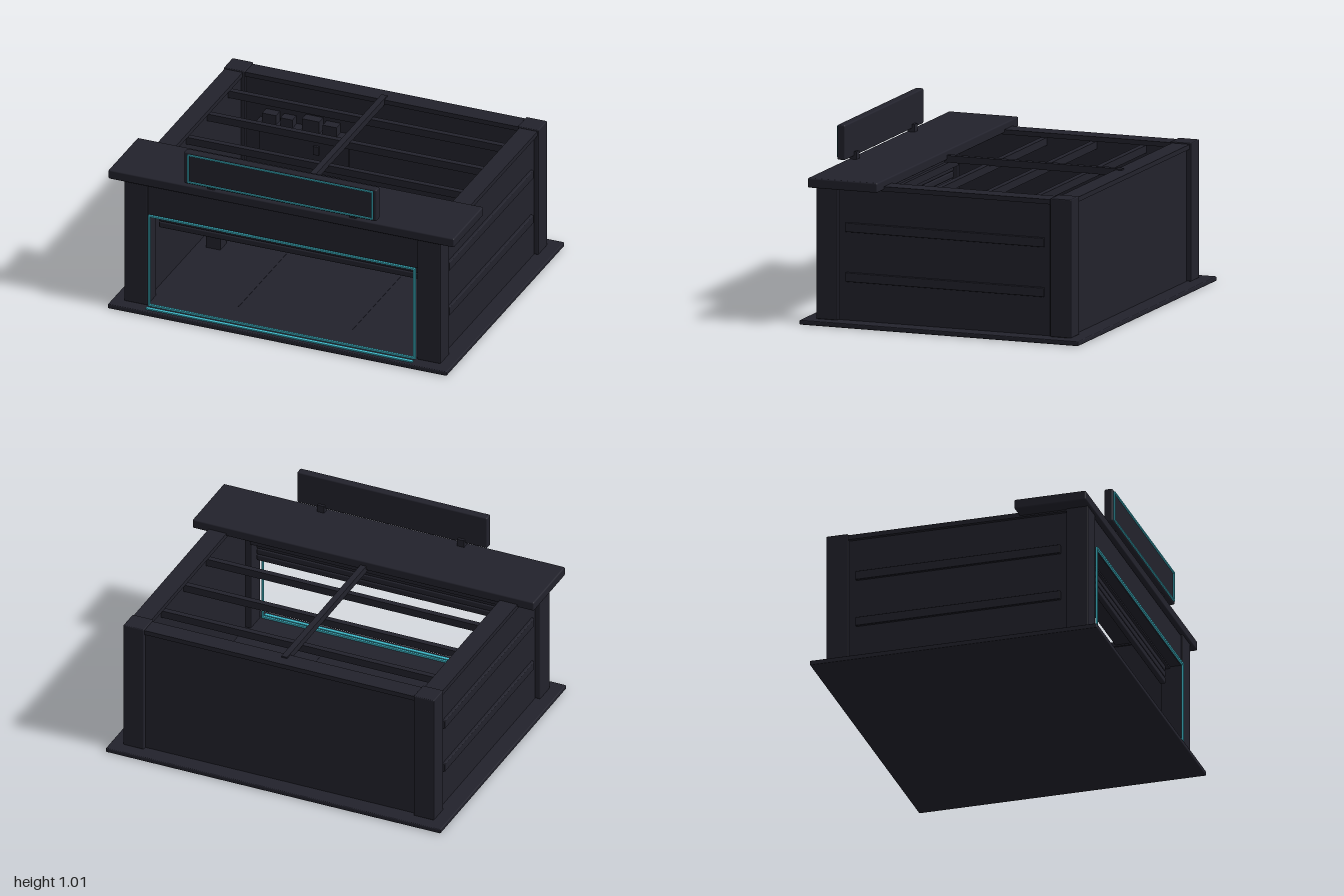
import * as THREE from 'three';
import { RoundedBoxGeometry } from 'three/addons/geometries/RoundedBoxGeometry.js';

export function createModel() {
  const root = new THREE.Group();
  root.name = 'garage';
  const dark = new THREE.MeshStandardMaterial({ color: 0x22222c });
  dark.name = 'dark panel';
  const glow = new THREE.MeshStandardMaterial({ color: 0x40bccd });
  glow.name = 'cyan trim';

  function add(name, geo, mat = dark, parent = root) {
    const m = new THREE.Mesh(geo, mat);
    m.name = name;
    parent.add(m);
    return m;
  }
  // Box given by its extents; r rounds the edges
  function box(name, x0, x1, y0, y1, z0, z1, r = 0, mat = dark, parent = root) {
    const s = [x1 - x0, y1 - y0, z1 - z0];
    const geo = r ? new RoundedBoxGeometry(...s, 2, r) : new THREE.BoxGeometry(...s);
    const m = add(name, geo, mat, parent);
    m.position.set((x0 + x1) / 2, (y0 + y1) / 2, (z0 + z1) / 2);
    return m;
  }
  // Rectangular outline made of four thin bars
  function frame(name, w, y0, y1, z0, z1, t) {
    const g = new THREE.Group();
    g.name = name;
    root.add(g);
    box('bottomBar', -w, w, y0, y0 + t, z0, z1, 0, glow, g);
    box('topBar', -w, w, y1 - t, y1, z0, z1, 0, glow, g);
    for (const s of [-1, 1]) {
      const c = s * (w - t / 2);
      box('sideBar', c - t / 2, c + t / 2, y0 + t, y1 - t, z0, z1, 0, glow, g);
    }
  }

  // Slab and floor seams
  box('baseSlab', -0.98, 0.98, 0, 0.025, -0.8, 0.8, 0.005);
  for (const x of [-0.33, 0.33]) box('floorSeam', x - 0.003, x + 0.003, 0.025, 0.027, -0.55, 0.55);

  // Walls, pillars, wall caps and side ribs
  for (const s of [-1, 1]) {
    const side = (name, a, b, ...rest) => box(name, Math.min(s * a, s * b), Math.max(s * a, s * b), ...rest);
    side('frontPillar', 0.78, 0.915, 0.025, 0.755, 0.61, 0.73, 0.005);
    side('backPillar', 0.79, 0.91, 0.025, 0.775, -0.73, -0.61, 0.005);
    side('sideWall', 0.81, 0.885, 0.025, 0.75, -0.62, 0.62);
    side('sideCap', 0.8, 0.905, 0.742, 0.768, -0.63, 0.62);
    for (const y of [0.235, 0.505]) side('sideRib', 0.88, 0.9, y, y + 0.05, -0.57, 0.57, 0.004);
  }
  box('backWall', -0.8, 0.8, 0.025, 0.75, -0.705, -0.63);
  box('backCap', -0.8, 0.8, 0.742, 0.768, -0.722, -0.62);

  // Door header and rolled-up shutter
  box('doorHeader', -0.79, 0.79, 0.57, 0.745, 0.62, 0.72);
  for (let i = 0; i < 3; i++) {
    const y = 0.46 + i * 0.037;
    box('shutterSlat', -0.75, 0.75, y, y + 0.034, 0.615, 0.645, 0.006);
  }
  box('shutterBox', -0.78, 0.78, 0.56, 0.6, 0.6, 0.66);
  frame('doorTrim', 0.772, 0.028, 0.574, 0.728, 0.74, 0.01);
  box('thresholdStrip', -0.77, 0.77, 0.024, 0.032, 0.756, 0.776, 0, glow);

  // Open roof beams
  for (const z of [-0.45, -0.165, 0.12]) box('crossBeam', -0.81, 0.81, 0.7, 0.742, z - 0.016, z + 0.016);
  box('ridgeBeam', -0.018, 0.016, 0.738, 0.776, -0.66, 0.36);

  // Front canopy and blank sign board
  box('canopy', -1, 1, 0.75, 0.803, 0.345, 0.745, 0.008);
  box('signBoard', -0.558, 0.556, 0.82, 1.01, 0.71, 0.756, 0.008);
  frame('signTrim', 0.535, 0.83, 1.0, 0.755, 0.764, 0.008);
  for (const x of [-0.41, 0.41]) {
    box('signFoot', x - 0.02, x + 0.02, 0.8, 0.825, 0.7, 0.735);
    box('signBracket', x - 0.02, x + 0.02, 0.8, 0.845, 0.695, 0.711);
  }

  // Workbench with drawers and a lower shelf
  const bench = new THREE.Group();
  bench.name = 'workbench';
  root.add(bench);
  const b = (name, ...e) => box(name, ...e, 0, dark, bench);
  b('benchTop', -0.72, -0.17, 0.185, 0.202, -0.63, -0.445);
  b('lowerShelf', -0.68, -0.36, 0.08, 0.092, -0.61, -0.47);
  for (const x of [-0.69, -0.2]) for (const z of [-0.6, -0.47])
    b('benchLeg', x - 0.012, x + 0.012, 0.025, 0.185, z - 0.012, z + 0.012);
  b('drawerUnit', -0.36, -0.19, 0.07, 0.185, -0.61, -0.47);
  for (let i = 0; i < 3; i++) b('drawerFront', -0.355, -0.195, 0.075 + i * 0.037, 0.106 + i * 0.037, -0.47, -0.462);
  b('viseBase', -0.675, -0.63, 0.202, 0.225, -0.515, -0.465);
  b('viseJaw', -0.665, -0.64, 0.225, 0.25, -0.52, -0.48);
  b('partsBox', -0.545, -0.455, 0.202, 0.268, -0.55, -0.475).rotation.y = 0.2;
  b('oilCan', -0.43, -0.405, 0.202, 0.245, -0.54, -0.515);
  b('toolbox', -0.36, -0.23, 0.202, 0.255, -0.575, -0.52);
  b('toolboxLid', -0.365, -0.225, 0.255, 0.268, -0.58, -0.515);

  // Pegboard, hanging tools and wall shelf
  box('pegboard', -0.71, -0.19, 0.285, 0.47, -0.632, -0.618);
  box('hangingTool', -0.392, -0.36, 0.36, 0.41, -0.62, -0.605);
  for (const x of [-0.6, -0.55, -0.47, -0.43]) box('toolHook', x - 0.01, x + 0.01, 0.45, 0.47, -0.62, -0.605);
  box('wallShelf', -0.705, -0.17, 0.5, 0.515, -0.63, -0.55);
  [[-0.63, 0.04], [-0.53, 0.035], [-0.39, 0.05], [-0.28, 0.04]].forEach(([x, w]) =>
    box('storageBox', x - w, x + w, 0.515, 0.515 + w * 1.4, -0.625, -0.57));

  // Drawer chest
  box('toolChest', 0.285, 0.5, 0.04, 0.21, -0.61, -0.478);
  box('chestLid', 0.28, 0.505, 0.21, 0.218, -0.612, -0.472);
  for (let i = 0; i < 4; i++) box('chestDrawer', 0.295, 0.49, 0.05 + i * 0.04, 0.084 + i * 0.04, -0.478, -0.47);
  for (const x of [0.31, 0.475]) box('chestFoot', x - 0.015, x + 0.015, 0.025, 0.04, -0.6, -0.49);

  // Tyres: a stack, and one leaning on the wall
  const tyre = (r, t) => new THREE.TorusGeometry(r - t, t, 8, 24);
  for (let i = 0; i < 3; i++) {
    const m = add('stackedTyre', tyre(0.08, 0.024));
    m.rotation.x = Math.PI / 2;
    m.position.set(0.662 + (i % 2) * 0.008, 0.05 + i * 0.048, -0.53);
  }
  const lean = add('leaningTyre', tyre(0.065, 0.02));
  lean.rotation.set(0, Math.PI / 2, 0.2, 'ZYX');
  lean.position.set(0.768, 0.09, -0.248);

  // Drum and crate by the wall
  add('drum', new THREE.CylinderGeometry(0.052, 0.052, 0.15, 20)).position.set(-0.72, 0.1, -0.225);
  for (const y of [0.03, 0.1, 0.17])
    add('drumRim', new THREE.CylinderGeometry(0.055, 0.055, 0.01, 20)).position.set(-0.72, y, -0.225);
  box('crate', -0.752, -0.668, 0.025, 0.1, -0.082, 0.002);

  return root;
}
